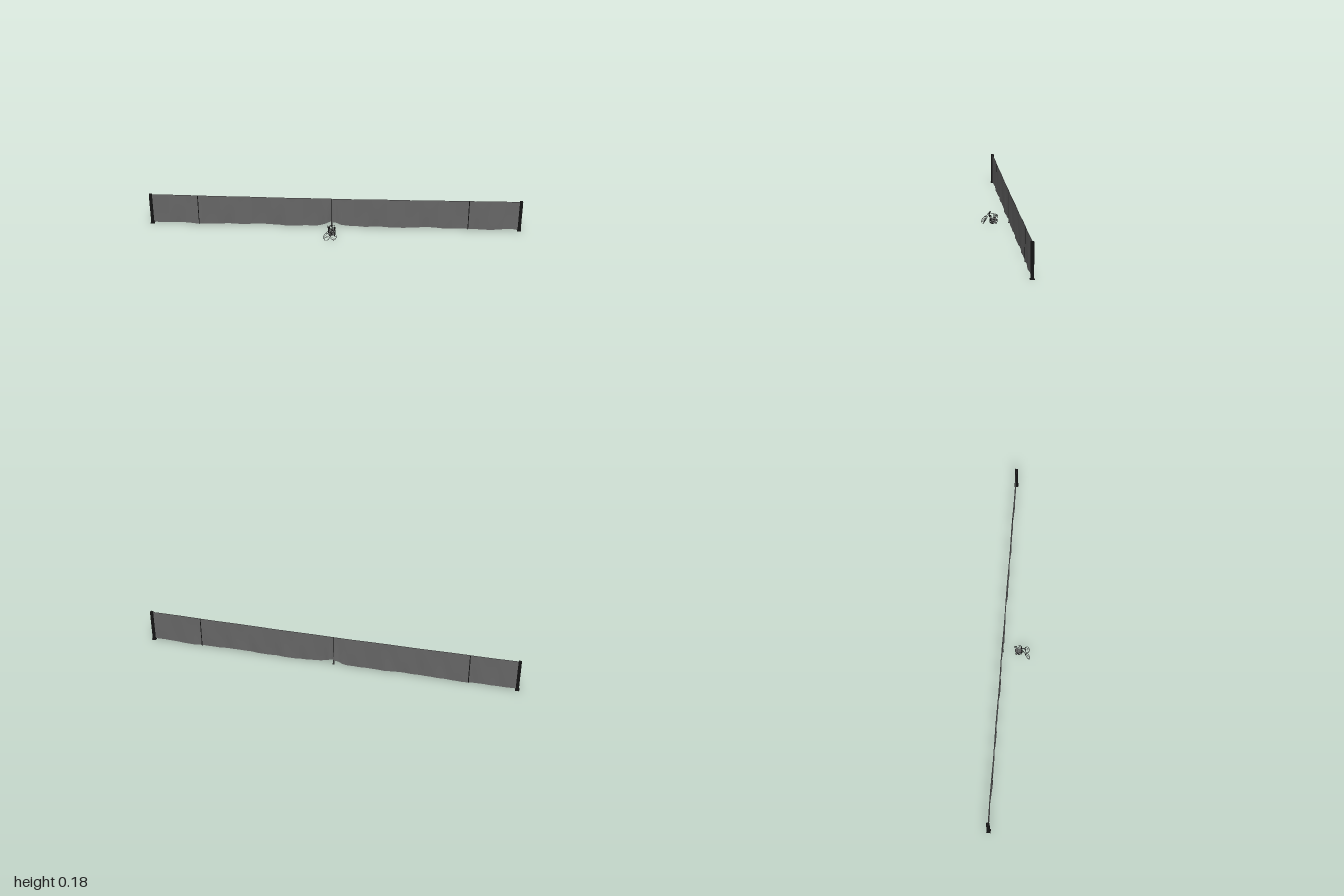
import * as THREE from 'three';
import { RoundedBoxGeometry } from 'three/addons/geometries/RoundedBoxGeometry.js';

const mat = (color, side = THREE.FrontSide) => new THREE.MeshStandardMaterial({ color, side });
const black = mat(0x141414), dark = mat(0x333333), grey = mat(0x666666);
const netMat = mat(0x666666, THREE.DoubleSide);
const NET_Z = -0.068, STRAP_X = -0.018;
const V = (x, y, z) => new THREE.Vector3(x, y, z);

function add(parent, name, geometry, material, x = 0, y = 0, z = 0) {
  const m = new THREE.Mesh(geometry, material);
  m.name = name;
  m.position.set(x, y, z);
  parent.add(m);
  return m;
}

// Straight round bar between two points
function bar(parent, name, a, b, r, material, sides = 6) {
  const d = b.clone().sub(a);
  const m = add(parent, name, new THREE.CylinderGeometry(r, r, d.length(), sides), material);
  m.position.copy(a).addScaledVector(d, 0.5);
  m.quaternion.setFromUnitVectors(V(0, 1, 0), d.normalize());
  return m;
}

function tube(parent, name, points, r, material, closed = false) {
  const curve = new THREE.CatmullRomCurve3(points, closed);
  return add(parent, name, new THREE.TubeGeometry(curve, 48, r, 6, closed), material);
}

// Top edge dips slightly in the middle; bottom edge is gathered at the strap
const topY = x => 0.171 + 0.005 * Math.min(1, Math.abs(x)) ** 1.5;
const pinch = x => Math.exp(-(((x - STRAP_X) / 0.045) ** 2));
const bottomY = x => 0.005 + 0.0025 * Math.sin(x * 13 + 1) + 0.0015 * Math.sin(x * 29) + 0.022 * pinch(x);
function netZ(x, t) {
  const slack = (1 - t) * Math.max(0, 1 - Math.abs(x) ** 8);
  const folds = 0.0016 * Math.sin(x * 23 + t * 2) + 0.0012 * Math.sin(x * 47 - t * 3) + 0.0007 * Math.sin(x * 90);
  const gather = 0.003 * Math.sin((x - STRAP_X) * 150) * pinch(x) * (1 - t) ** 2;
  return NET_Z + 0.0008 * Math.sin(x * 17) + folds * slack + gather;
}

function makeNet() {
  const net = new THREE.Group();
  net.name = 'net';
  const geo = new THREE.PlaneGeometry(1.966, 1, 420, 20);
  const p = geo.attributes.position;
  for (let i = 0; i < p.count; i++) {
    const x = p.getX(i), t = p.getY(i) + 0.5;
    p.setXYZ(i, x, THREE.MathUtils.lerp(bottomY(x), topY(x), t), netZ(x, t));
  }
  geo.computeVertexNormals();
  add(net, 'netSheet', geo, netMat);
  const edge = [];
  for (let i = 0; i <= 40; i++) {
    const x = -0.985 + (1.97 * i) / 40;
    edge.push(V(x, topY(x), netZ(x, 1)));
  }
  const cable = new THREE.CatmullRomCurve3(edge);
  add(net, 'topCable', new THREE.TubeGeometry(cable, 160, 0.0014, 6), dark);
  // Centre strap runs to a ground anchor
  add(net, 'centreStrap', new THREE.BoxGeometry(0.007, 0.171, 0.003), dark, STRAP_X, 0.0855, NET_Z);
  add(net, 'strapAnchor', new THREE.BoxGeometry(0.01, 0.003, 0.008), dark, STRAP_X, 0.0015, NET_Z);
  // Thin supporting sticks inside the net
  for (const x of [-0.736, 0.715])
    add(net, 'netStick', new THREE.CylinderGeometry(0.0022, 0.0022, 0.172, 8), black, x, 0.086, netZ(x, 0.7));
  return net;
}

function makePost(side) {
  const post = new THREE.Group();
  post.name = side > 0 ? 'leftPost' : 'rightPost';
  add(post, 'shaft', new RoundedBoxGeometry(0.016, 0.176, 0.016, 2, 0.002), black, 0, 0.09, 0);
  add(post, 'cap', new THREE.BoxGeometry(0.0145, 0.002, 0.0145), black, 0, 0.1775, 0);
  add(post, 'basePlate', new THREE.BoxGeometry(0.022, 0.004, 0.022), black, 0, 0.002, 0);
  post.position.set(side * 0.989, 0, NET_Z);
  return post;
}

// Tapered wire basket filled with balls
function makeBasket() {
  const basket = new THREE.Group();
  basket.name = 'ballBasket';
  const H = 0.047, half = y => THREE.MathUtils.lerp(0.0155, 0.0185, y / H);
  const corners = y => [[-1, -1], [1, -1], [1, 1], [-1, 1]].map(([x, z]) => V(x * half(y), y, z * half(y)));
  for (const y of [0.001, 0.012, 0.023, 0.034, H]) {
    const c = corners(y);
    for (let i = 0; i < 4; i++)
      bar(basket, 'basketHoop', c[i], c[(i + 1) % 4], y === H ? 0.0008 : 0.0004, black);
  }
  const lo = corners(0.001), hi = corners(H), N = 7;
  for (let s = 0; s < 4; s++)
    for (let i = 0; i < N; i++)
      bar(basket, 'basketWire', lo[s].clone().lerp(lo[(s + 1) % 4], i / N),
        hi[s].clone().lerp(hi[(s + 1) % 4], i / N), i ? 0.0004 : 0.0007, black);
  for (let i = 1; i < N; i++) {
    bar(basket, 'basketFloorWire', lo[0].clone().lerp(lo[1], i / N), lo[3].clone().lerp(lo[2], i / N), 0.0004, black);
    bar(basket, 'basketFloorWire', lo[0].clone().lerp(lo[3], i / N), lo[1].clone().lerp(lo[2], i / N), 0.0004, black);
  }
  const ball = new THREE.SphereGeometry(0.0049, 14, 10);
  for (let layer = 0; layer < 3; layer++)
    for (let i = -1; i <= 1; i++)
      for (let j = -1; j <= 1; j++) {
        if (layer === 2 && (i + j) % 2 !== 0) continue;
        const y = 0.0065 + layer * 0.0098 + 0.0008 * Math.sin(i * 5 + j * 3);
        add(basket, 'ball', ball, grey, i * 0.0101, y, j * 0.0101);
      }
  basket.position.set(-0.014, 0, 0.0155);
  basket.rotation.y = 0.2;
  return basket;
}

// Racket built head-down along +y, then leaned from foot to tip
function makeRacket(foot, tip) {
  const racket = new THREE.Group();
  racket.name = 'racket';
  const L = foot.distanceTo(tip), A = 0.0155, B = 0.02, cy = B;
  const rim = [];
  for (let i = 0; i < 24; i++) {
    const a = (i / 24) * Math.PI * 2;
    rim.push(V(A * Math.cos(a), cy + B * Math.sin(a), 0));
  }
  tube(racket, 'headRim', rim, 0.0011, black, true);
  for (let i = -5; i <= 5; i++) {
    const x = (i / 6) * A, h = B * Math.sqrt(1 - (i / 6) ** 2);
    bar(racket, 'string', V(x, cy - h, 0), V(x, cy + h, 0), 0.00018, grey, 4);
    const y = cy + (i / 6) * B, w = A * Math.sqrt(1 - (i / 6) ** 2);
    bar(racket, 'string', V(-w, y, 0), V(w, y, 0), 0.00018, grey, 4);
  }
  for (const s of [-1, 1])
    tube(racket, 'throat', [V(s * 0.0105, 0.0345, 0), V(s * 0.005, 0.044, 0), V(s * 0.0008, 0.053, 0)], 0.0009, black);
  bar(racket, 'shaft', V(0, 0.051, 0), V(0, 0.06, 0), 0.0014, black, 8);
  bar(racket, 'grip', V(0, 0.058, 0), V(0, L, 0), 0.002, black, 8);
  const up = tip.clone().sub(foot).normalize();
  const across = up.clone().cross(V(0, 0, 1)).normalize();
  const normal = across.clone().cross(up);
  racket.quaternion.setFromRotationMatrix(new THREE.Matrix4().makeBasis(across, up, normal));
  racket.position.copy(foot);
  return racket;
}

export function createModel() {
  const model = new THREE.Group();
  model.name = 'tennisNetSet';
  model.add(makeNet(), makePost(1), makePost(-1), makeBasket());
  model.add(makeRacket(V(-0.044, 0.0012, 0.078), V(-0.023, 0.063, 0.032)));
  model.add(makeRacket(V(0, 0.0012, 0.073), V(-0.012, 0.064, 0.03)));
  return model;
}
